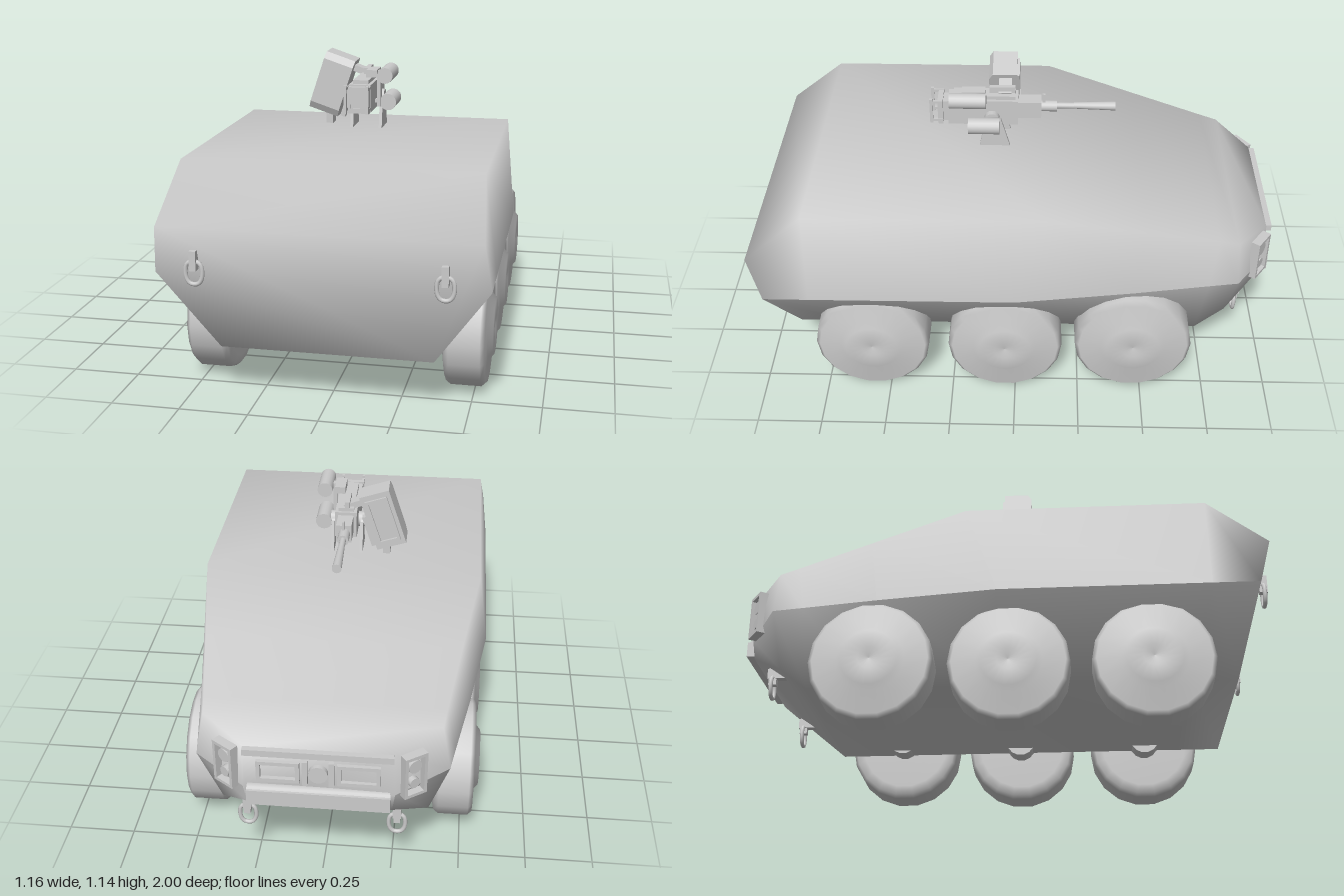
import * as THREE from 'three';

const mat = new THREE.MeshStandardMaterial({ color: 0xcccccc, side: THREE.DoubleSide });

function add(parent, name, geo, x = 0, y = 0, z = 0, rx = 0, ry = 0, rz = 0) {
  const m = new THREE.Mesh(geo, mat);
  m.name = name;
  m.position.set(x, y, z);
  m.rotation.set(rx, ry, rz);
  parent.add(m);
  return m;
}
const box = (w, h, d) => new THREE.BoxGeometry(w, h, d);
const cyl = (r, len, n = 16, r2 = r) => new THREE.CylinderGeometry(r, r2, len, n);
const Q = Math.PI / 2;

// Hull lofted through stations; each holds bottom, shoulder and roof corners as [x, y, z]
function hullGeometry() {
  const stations = [
    [[.38, .19, .87], [.58, .485, .952], [.558, .66, 1.0]],
    [[.38, .19, .7], [.58, .485, .78], [.535, .845, .78]],
    [[.38, .19, 0], [.577, .485, 0], [.535, .845, -.12]],
    [[.38, .19, -.5], [.515, .485, -.45], [.475, .75, -.485]],
    [[.38, .19, -.72], [.468, .485, -.74], [.43, .675, -.77]],
    [[.37, .28, -.83], [.45, .485, -.855], [.42, .655, -.845]],
    [[.255, .375, -.965], [.265, .45, -.975], [.26, .62, -.972]],
  ];
  const pos = [], idx = [], n = 8;
  for (const [b, s, t] of stations) {
    const half = [b, s, s, t]; // doubled shoulder keeps the side crease sharp
    for (const p of half) pos.push(...p);
    for (const p of half.slice().reverse()) pos.push(-p[0], p[1], p[2]);
  }
  for (let s = 0; s < stations.length - 1; s++) {
    for (let i = 0; i < n; i++) {
      if (i === 1 || i === 5) continue;
      const j = (i + 1) % n, a = s * n + i, b = s * n + j;
      idx.push(a, a + n, b, b, a + n, b + n);
    }
  }
  const last = (stations.length - 1) * n, cap = [0, 2, 3, 4, 5, 7];
  for (let i = 1; i < 5; i++) {
    idx.push(0, cap[i], cap[i + 1]);
    idx.push(last, last + cap[i + 1], last + cap[i]);
  }
  const g = new THREE.BufferGeometry();
  g.setAttribute('position', new THREE.Float32BufferAttribute(pos, 3));
  g.setIndex(idx);
  g.computeVertexNormals();
  return g;
}

// Rectangular frame in the xy plane
function frame(w, h, t, depth) {
  const rect = (c, a, b) => c.moveTo(-a, -b).lineTo(a, -b).lineTo(a, b).lineTo(-a, b).closePath();
  const s = rect(new THREE.Shape(), w / 2, h / 2);
  s.holes.push(rect(new THREE.Path(), w / 2 - t, h / 2 - t));
  return new THREE.ExtrudeGeometry(s, { depth, bevelEnabled: false }).translate(0, 0, -depth / 2);
}

// Towing lug with a hanging oval link
function shackle(parent, name, x, y, z) {
  const g = new THREE.Group();
  g.name = name;
  add(g, 'lug', box(.024, .07, .03), 0, .025, 0);
  const pts = [[-.024, .01], [-.028, -.035], [-.014, -.058], [.014, -.058], [.028, -.035], [.024, .01], [0, .022]];
  const path = new THREE.CatmullRomCurve3(pts.map(p => new THREE.Vector3(p[0], p[1], 0)), true);
  add(g, 'link', new THREE.TubeGeometry(path, 24, .008, 8, true));
  g.position.set(x, y, z);
  parent.add(g);
}

// Wheels with a bulged outer face and an inner hub, axis along x
function wheels(root) {
  const profile = [[0, -.085], [.17, -.085], [.202, -.078], [.215, -.06], [.215, .052],
    [.2, .068], [.12, .07], [.1, .088], [.04, .088], [0, .08]].map(p => new THREE.Vector2(...p));
  const tyre = new THREE.LatheGeometry(profile, 18);
  for (const side of [1, -1]) {
    for (const [z, y, r] of [[.56, .217, .222], [.04, .217, .222], [-.46, .235, .227]]) {
      const g = new THREE.Group();
      g.name = side > 0 ? 'leftWheel' : 'rightWheel';
      const t = add(g, 'tyre', tyre, 0, 0, 0, 0, 0, -Q);
      t.scale.set(r / .215, 1, r / .215);
      add(g, 'innerHub', cyl(.058, .09, 14), -.115, 0, 0, 0, 0, Q);
      g.position.set(side * .475, y, z);
      if (side < 0) g.rotation.y = Math.PI;
      root.add(g);
    }
  }
}

// Nose grille, bumper and lamp clusters
function nose(root) {
  const g = new THREE.Group();
  g.name = 'nose';
  add(g, 'topBar', box(.52, .025, .03), 0, .608, -.977);
  add(g, 'bumper', box(.5, .06, .04), 0, .42, -.98);
  add(g, 'bumperRoll', cyl(.03, .5, 12), 0, .43, -.97, 0, 0, Q);
  add(g, 'centreLamp', cyl(.034, .02, 16), 0, .525, -.978, Q);
  for (const s of [1, -1]) {
    add(g, 'grilleFrame', frame(.15, .085, .014, .016), s * .14, .525, -.977);
    add(g, 'grillePost', box(.018, .1, .02), s * .046, .525, -.975);
    const c = new THREE.Group();
    c.name = 'lampCluster';
    add(c, 'guard', frame(.09, .17, .012, .035), 0, 0, .01);
    add(c, 'upperLamp', cyl(.026, .03, 14), 0, .035, .005, Q);
    add(c, 'lowerLamp', cyl(.02, .03, 14), 0, -.035, .005, Q);
    c.position.set(s * .32, .525, -.937);
    c.rotation.y = Math.PI - s * .62;
    g.add(c);
  }
  root.add(g);
}

// Remote weapon station on the roof, barrel toward -z
function weaponStation(root) {
  const g = new THREE.Group();
  g.name = 'weaponStation';
  const cheek = new THREE.Shape([[-.15, .84], [-.03, .84], [-.065, .965], [-.085, .985], [-.11, .985], [-.125, .965]]
    .map(p => new THREE.Vector2(...p)));
  for (const s of [1, -1]) {
    add(g, 'mountCheek', new THREE.ExtrudeGeometry(cheek, { depth: .012, bevelEnabled: false }),
      s * .057 - .006, 0, 0, 0, Q, 0);
    add(g, 'rearHandle', box(.01, .105, .012), s * .042, .99, .335);
    for (const y of [.95, 1.03]) add(g, 'handleArm', box(.01, .01, .05), s * .042, y, .315);
  }
  add(g, 'trunnion', cyl(.03, .15, 16), -.008, .963, .1, 0, 0, Q);
  add(g, 'receiver', box(.085, .105, .27), 0, .983, .135);
  add(g, 'receiverCover', box(.06, .02, .24), 0, 1.04, .13);
  add(g, 'rearBlock', box(.065, .085, .04), 0, .983, .285);
  add(g, 'rearPlate', frame(.09, .1, .018, .02), 0, .983, .3);
  add(g, 'gunHousing', box(.06, .07, .1), 0, .988, -.04);
  add(g, 'barrelSleeve', cyl(.022, .1, 14), -.003, .99, -.1, Q);
  add(g, 'barrel', cyl(.012, .24, 14), -.003, .992, -.2, Q);
  add(g, 'muzzle', cyl(.018, .16, 14, .013), -.003, .993, -.297, -Q);
  add(g, 'foresight', box(.01, .07, .012), 0, 1.01, -.1);
  // sight cylinders on the side
  add(g, 'upperSight', cyl(.03, .14, 18), .095, 1.071, .19, Q);
  add(g, 'lowerSight', cyl(.032, .12, 18), .095, .958, .13, Q);
  add(g, 'sightPost', box(.014, .14, .03), .06, 1.01, .18);
  add(g, 'sightArm', box(.05, .014, .02), .07, .962, .18);
  add(g, 'smallSight', box(.042, .028, .09), .035, 1.07, .17);
  add(g, 'topRail', box(.018, .03, .1), -.005, 1.06, .06);
  // tilted ammunition box
  const a = new THREE.Group();
  a.name = 'ammunitionBox';
  const side = new THREE.Shape([[-.055, -.117], [.04, -.117], [.055, -.09], [.055, .09], [.04, .117], [-.055, .117]]
    .map(p => new THREE.Vector2(...p)));
  add(a, 'case', new THREE.ExtrudeGeometry(side, { depth: .12, bevelEnabled: false }), .06, 0, 0, 0, -Q, 0);
  add(a, 'lidFrame', frame(.09, .19, .012, .012), 0, 0, -.058);
  add(a, 'sideBracket', box(.02, .13, .03), .075, -.05, 0);
  a.position.set(-.145, 1.005, .06);
  a.rotation.z = -.32;
  g.add(a);
  add(g, 'boxPost', box(.028, .07, .05), -.16, .87, .06);
  add(g, 'feedChute', box(.1, .025, .05), -.04, 1.06, .05, 0, 0, -.35);
  root.add(g);
}

export function createModel() {
  const root = new THREE.Group();
  root.name = 'armouredCarrier';
  add(root, 'hull', hullGeometry());
  wheels(root);
  nose(root);
  weaponStation(root);
  for (const s of [1, -1]) {
    shackle(root, 'tailShackle', s * .43, .52, .982);
    shackle(root, 'noseShackle', s * .27, .265, -.88);
    add(root, 'noseLugMount', box(.03, .04, .08), s * .27, .3, -.86);
  }
  return root;
}
